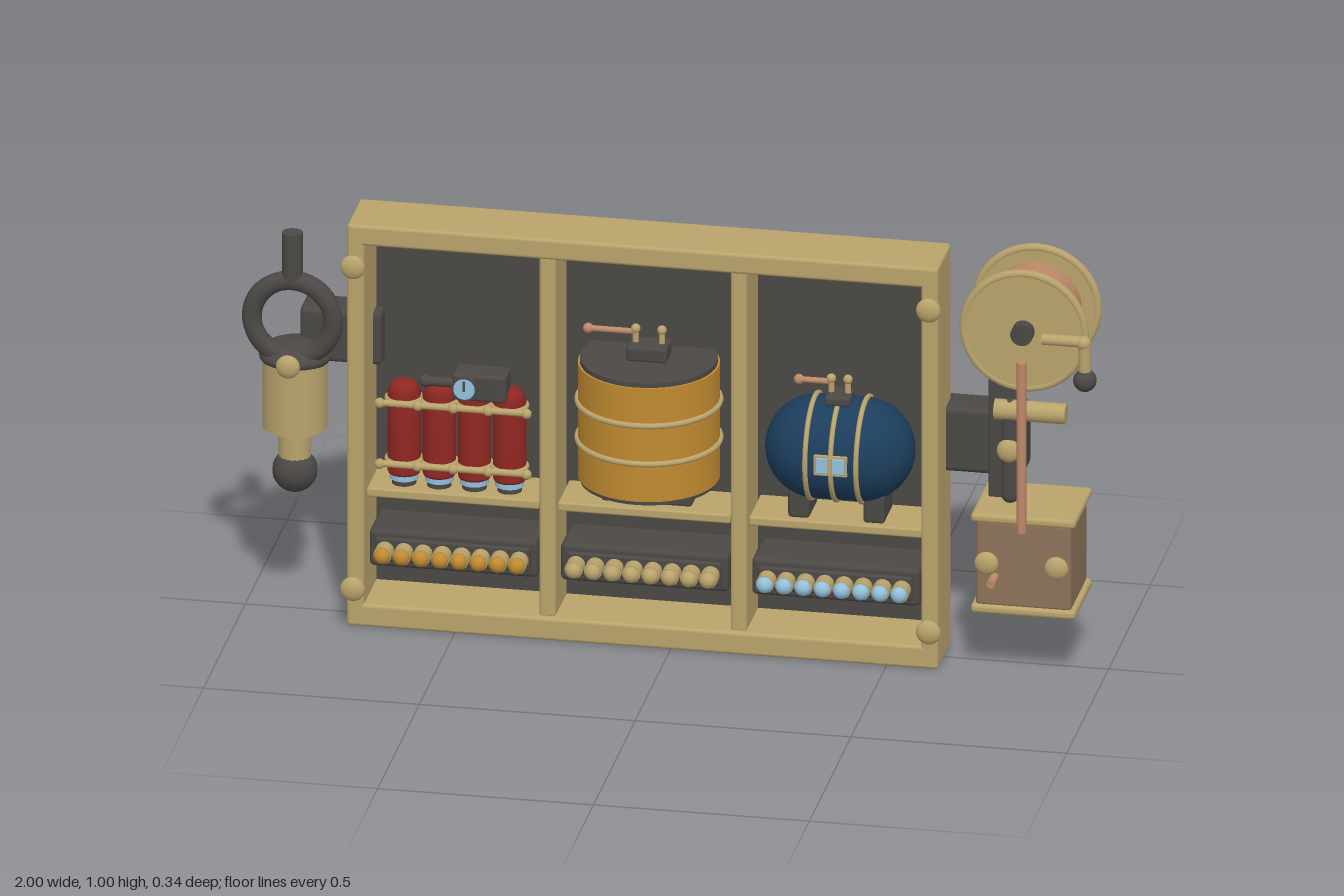
import * as THREE from 'three';
import { RoundedBoxGeometry } from 'three/addons/geometries/RoundedBoxGeometry.js';

function material(name, color) {
  const m = new THREE.MeshStandardMaterial({ color });
  m.name = name;
  return m;
}

export function createModel() {
  const brass = material('brass', 0xb9a36c);
  const iron = material('dark iron', 0x4b4845);
  const copper = material('copper', 0xbd8868);
  const brown = material('brown box', 0x8c735a);
  const amber = material('amber', 0xc08a30);
  const red = material('red', 0x8f2722);
  const blue = material('navy blue', 0x1c3d5c);
  const pale = material('pale blue', 0x93c0dc);

  const model = new THREE.Group();
  model.name = 'equipmentRack';
  let parent = model;

  function section(name) {
    parent = new THREE.Group();
    parent.name = name;
    model.add(parent);
  }
  function add(name, geometry, mat, x, y, z) {
    const mesh = new THREE.Mesh(geometry, mat);
    mesh.name = name;
    mesh.position.set(x, y, z);
    parent.add(mesh);
    return mesh;
  }
  // Rounded box given by its limits on each axis
  function box(name, mat, [x0, x1], [y0, y1], [z0, z1], r = 0.008) {
    const w = x1 - x0, h = y1 - y0, d = z1 - z0;
    return add(name, new RoundedBoxGeometry(w, h, d, 2, Math.min(r, w / 2.1, h / 2.1, d / 2.1)),
      mat, (x0 + x1) / 2, (y0 + y1) / 2, (z0 + z1) / 2);
  }
  // Cylinder of given length along one axis
  function rod(name, mat, r, length, axis, x, y, z) {
    const g = new THREE.CylinderGeometry(r, r, length, r > 0.06 ? 48 : 18);
    if (axis === 'x') g.rotateZ(Math.PI / 2);
    if (axis === 'z') g.rotateX(Math.PI / 2);
    return add(name, g, mat, x, y, z);
  }
  function ball(name, mat, r, x, y, z, flat = 1) {
    const g = new THREE.SphereGeometry(r, 18, 12);
    g.scale(1, 1, flat);
    return add(name, g, mat, x, y, z);
  }
  function ring(name, mat, r, tube, axis, x, y, z) {
    const g = new THREE.TorusGeometry(r, tube, 10, 48);
    if (axis === 'x') g.rotateY(Math.PI / 2);
    if (axis === 'y') g.rotateX(Math.PI / 2);
    return add(name, g, mat, x, y, z);
  }
  // Valve block with two studs and a thin copper pipe to the left
  function valveBlock(x, y, w, h, pipeLength) {
    box('valveBlock', iron, [x - w / 2, x + w / 2], [y, y + h], [-0.035, 0.035]);
    for (const s of [-1, 1]) {
      rod('valveStem', brass, 0.007, 0.035, 'y', x + s * w * 0.32, y + h + 0.015, 0);
      ball('valveKnob', brass, 0.011, x + s * w * 0.32, y + h + 0.032, 0);
    }
    const px = x - w * 0.32, py = y + h + 0.024;
    rod('valvePipe', copper, 0.007, pipeLength, 'x', px - pipeLength / 2, py, 0);
    ball('pipeEnd', copper, 0.012, px - pipeLength, py, 0);
  }

  // Case: frame, back panel, dividers, corner bolts
  section('case');
  box('topRail', brass, [-0.75, 0.62], [0.94, 0.99], [-0.08, 0.08]);
  box('bottomRail', brass, [-0.75, 0.62], [0, 0.055], [-0.08, 0.08]);
  box('rightPost', brass, [-0.75, -0.71], [0.01, 0.98], [-0.08, 0.08]);
  box('leftPost', brass, [0.58, 0.62], [0.01, 0.98], [-0.08, 0.08]);
  box('backPanel', iron, [-0.72, 0.59], [0.035, 0.955], [-0.145, -0.072], 0.012);
  for (const x of [-0.288, 0.155]) box('divider', brass, [x - 0.019, x + 0.019], [0.05, 0.945], [-0.078, 0.065]);
  for (const x of [-0.732, 0.602]) for (const y of [0.1, 0.895]) ball('cornerBolt', brass, 0.029, x, y, 0.1, 0.55);
  for (const x of [-0.732, 0.602]) for (const y of [0.1, 0.895]) rod('boltShank', brass, 0.014, 0.03, 'z', x, y, 0.086);

  // Shelves and lamp trays
  section('shelves');
  const bays = [[-0.508, amber], [-0.065, brass], [0.378, pale]];
  for (const [x, lampColor] of bays) {
    box('shelf', brass, [x - 0.2, x + 0.2], [0.313, 0.335], [-0.078, 0.06], 0.005);
    box('lampTray', iron, [x - 0.195, x + 0.195], [0.14, 0.232], [-0.075, 0.055], 0.012);
    box('lampStrip', iron, [x - 0.18, x + 0.18], [0.158, 0.215], [0.04, 0.064], 0.006);
    for (let i = 0; i < 8; i++) {
      const lx = x + (i - 3.5) * 0.0445;
      rod('lampSocket', brass, 0.021, 0.035, 'z', lx, 0.187, 0.08);
      ball('lamp', lampColor, 0.019, lx, 0.187, 0.1, 0.95);
    }
  }

  // Row of red bottles held by straps, with a gauge box
  section('bottleRack');
  const bottleProfile = [[0, 0], [0.036, 0], [0.038, 0.006], [0.038, 0.2], [0.03, 0.218], [0.018, 0.225], [0, 0.225]]
    .map(([r, y]) => new THREE.Vector2(r, y));
  for (let i = 0; i < 4; i++) {
    const x = -0.63 + i * 0.0815;
    add('bottle', new THREE.LatheGeometry(bottleProfile, 24), red, x, 0.362, 0.01);
    rod('bottleBase', pale, 0.033, 0.016, 'y', x, 0.356, 0.01);
    rod('bottleFoot', iron, 0.028, 0.018, 'y', x, 0.342, 0.01);
    for (const y of [0.395, 0.545]) ring('bottleBand', brass, 0.039, 0.006, 'y', x, y, 0.01);
  }
  for (const y of [0.395, 0.545]) {
    rod('strap', brass, 0.008, 0.34, 'x', -0.508, y, 0.052);
    for (const x of [-0.678, -0.59, -0.508, -0.427, -0.338]) ball('strapStud', brass, 0.012, x, y, 0.054);
  }
  box('gaugeBox', iron, [-0.51, -0.385], [0.567, 0.632], [-0.01, 0.06]);
  rod('gaugePipe', iron, 0.011, 0.07, 'x', -0.54, 0.598, 0.03);
  ball('gaugePipeEnd', iron, 0.015, -0.577, 0.598, 0.03);
  rod('gaugeRim', iron, 0.03, 0.012, 'z', -0.48, 0.6, 0.062);
  rod('gaugeFace', pale, 0.025, 0.008, 'z', -0.48, 0.6, 0.066);
  box('gaugeHand', iron, [-0.483, -0.477], [0.595, 0.62], [0.069, 0.073], 0.001);

  // Upright drum that passes through the back panel
  section('drum');
  rod('drumBody', amber, 0.162, 0.28, 'y', -0.065, 0.535, 0);
  for (const y of [0.392, 0.679]) rod('drumCap', iron, 0.157, 0.014, 'y', -0.065, y, 0);
  for (const y of [0.489, 0.583]) ring('drumHoop', brass, 0.163, 0.007, 'y', -0.065, y, 0);
  box('drumFoot', iron, [-0.17, 0.04], [0.333, 0.388], [-0.07, 0.03]);
  valveBlock(-0.065, 0.684, 0.095, 0.038, 0.11);

  // Horizontal blue tank
  section('tank');
  const tank = new THREE.CapsuleGeometry(0.12, 0.104, 14, 36);
  tank.rotateZ(Math.PI / 2);
  add('tankBody', tank, blue, 0.377, 0.495, -0.008);
  for (const x of [0.318, 0.377, 0.436]) ring('tankHoop', brass, 0.121, 0.006, 'x', x, 0.495, -0.008);
  for (const x of [0.29, 0.464]) box('tankFoot', iron, [x - 0.025, x + 0.025], [0.334, 0.405], [-0.06, 0.045]);
  box('tankPlateRim', brass, [0.338, 0.416], [0.473, 0.523], [0.108, 0.115], 0.002);
  box('tankPlate', pale, [0.344, 0.41], [0.479, 0.517], [0.112, 0.118], 0.002);
  box('tankPlateBar', brass, [0.372, 0.382], [0.475, 0.521], [0.113, 0.121], 0.002);
  valveBlock(0.377, 0.61, 0.06, 0.025, 0.075);

  // Ring and weight hanging on the model's right
  section('hangingRing');
  box('ringBracket', iron, [-0.88, -0.69], [0.6, 0.73], [-0.12, -0.028], 0.012);
  ring('grabRing', iron, 0.094, 0.023, 'z', -0.885, 0.727, 0.03);
  rod('ringStem', iron, 0.024, 0.12, 'y', -0.885, 0.88, 0.03);
  const collar = new THREE.SphereGeometry(0.084, 32, 16);
  collar.scale(1, 0.4, 1);
  add('collar', collar, iron, -0.885, 0.625, -0.008);
  rod('weightBody', brass, 0.074, 0.165, 'y', -0.885, 0.533, 0);
  rod('weightNeck', brass, 0.037, 0.1, 'y', -0.885, 0.405, 0);
  ball('weightBall', iron, 0.052, -0.885, 0.342, 0);
  ball('collarBolt', brass, 0.028, -0.885, 0.63, 0.085, 0.6);

  // Bracket, post and lever carrying the reel
  section('reelSupport');
  box('reelBracket', iron, [0.57, 0.8], [0.45, 0.61], [-0.11, -0.015], 0.014);
  box('reelPost', iron, [0.72, 0.79], [0.4, 0.85], [-0.075, 0]);
  const lever = new THREE.CapsuleGeometry(0.02, 0.215, 6, 14);
  add('lever', lever, iron, 0.775, 0.528, 0.016);
  rod('leverGrip', brass, 0.024, 0.165, 'x', 0.823, 0.63, 0.018);
  ball('leverBolt', brass, 0.028, 0.775, 0.535, 0.033, 0.6);

  // Reel with crank and feed wire
  section('reel');
  rod('windings', copper, 0.105, 0.145, 'z', 0.82, 0.857, 0);
  for (const z of [-0.077, 0.079]) {
    rod('flange', brass, 0.144, 0.016, 'z', 0.82, 0.855, z);
    ring('flangeRim', brass, 0.14, 0.01, 'z', 0.82, 0.855, z);
  }
  rod('axle', iron, 0.026, 0.23, 'z', 0.82, 0.857, 0);
  rod('crankArm', brass, 0.013, 0.1, 'x', 0.922, 0.86, 0.132);
  ball('crankElbow', brass, 0.017, 0.968, 0.858, 0.134);
  rod('crankHandle', brass, 0.014, 0.085, 'y', 0.971, 0.82, 0.134);
  ball('crankKnob', iron, 0.027, 0.971, 0.767, 0.134);
  rod('feedWire', copper, 0.011, 0.42, 'y', 0.82, 0.58, 0.113);

  // Box under the reel
  section('reelBox');
  box('boxBody', brown, [0.71, 0.932], [0.175, 0.388], [-0.096, 0.099], 0.01);
  for (const y of [0.169, 0.393]) box('boxLid', brass, [0.7, 0.943], [y - 0.011, y + 0.011], [-0.101, 0.106], 0.009);
  for (const x of [0.738, 0.9]) ball('boxKnob', brass, 0.028, x, 0.285, 0.108, 0.55);
  rod('boxPeg', copper, 0.01, 0.06, 'z', 0.755, 0.25, 0.116);

  return model;
}
